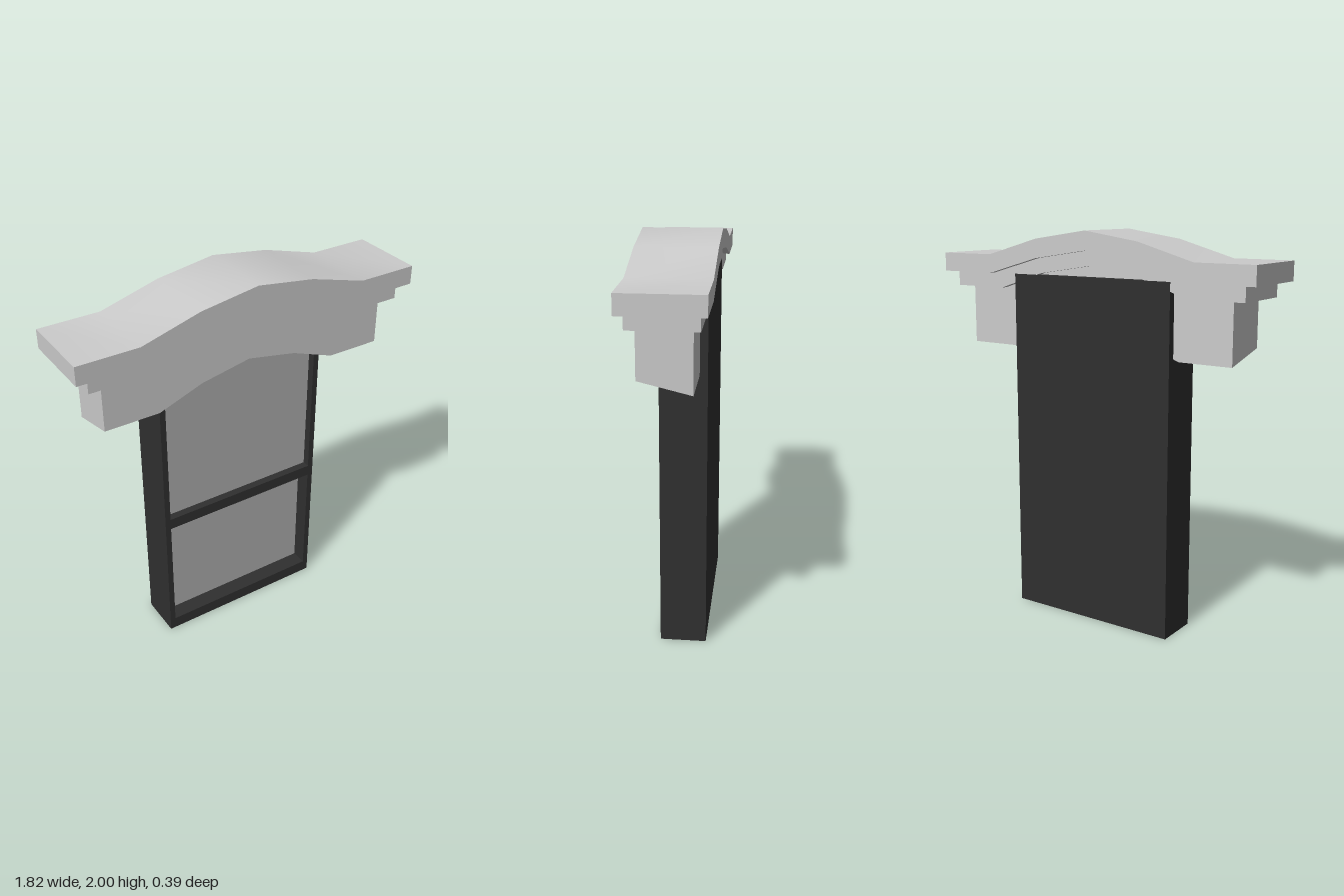
import * as THREE from 'three';
import { toCreasedNormals } from 'three/addons/utils/BufferGeometryUtils.js';

const stone = new THREE.MeshStandardMaterial({ color: 0xcccccc });
const dark = new THREE.MeshStandardMaterial({ color: 0x303030 });
const glass = new THREE.MeshStandardMaterial({ color: 0xaeaeae });

// Mirrors a half arch line (outer end to crown) into a full line, left to right
function fullLine(half) {
  const right = half.map(([x, y]) => new THREE.Vector2(x, y));
  const left = half.slice(0, -1).map(([x, y]) => new THREE.Vector2(-x, y));
  return [...left, ...right.reverse()];
}

// Solid between two arch lines; the underside drops by backDrop towards the back
function archedBand(name, top, bottom, depth, backDrop = 0) {
  const lower = fullLine(bottom);
  const shape = new THREE.Shape([...lower, ...fullLine(top).reverse()]);
  const geo = new THREE.ExtrudeGeometry(shape, { depth, bevelEnabled: false });
  geo.translate(0, 0, -depth / 2);
  const p = geo.attributes.position;
  for (let i = 0; i < p.count; i++) {
    const x = p.getX(i), y = p.getY(i);
    const onUnderside = lower.some(v => Math.hypot(v.x - x, v.y - y) < 1e-4);
    if (onUnderside && p.getZ(i) < 0) p.setY(i, y - backDrop);
  }
  const mesh = new THREE.Mesh(toCreasedNormals(geo, 0.5), stone);
  mesh.name = name;
  return mesh;
}

function box(name, x0, x1, y0, y1, z0, z1, material) {
  const mesh = new THREE.Mesh(new THREE.BoxGeometry(x1 - x0, y1 - y0, z1 - z0), material);
  mesh.position.set((x0 + x1) / 2, (y0 + y1) / 2, (z0 + z1) / 2);
  mesh.name = name;
  return mesh;
}

function rectangle(type, x, y0, y1) {
  return new type([[-x, y0], [x, y0], [x, y1], [-x, y1]].map(([a, b]) => new THREE.Vector2(a, b)));
}

export function createModel() {
  const model = new THREE.Group();
  model.name = 'archedWindow';

  // Window frame with an upper and a lower opening
  const backZ = -0.163, panelZ = -0.1, frontZ = 0.065;
  const shape = rectangle(THREE.Shape, 0.46, 0, 1.775);
  shape.holes.push(rectangle(THREE.Path, 0.43, 0.065, 0.7), rectangle(THREE.Path, 0.43, 0.76, 1.74));
  const frameGeo = new THREE.ExtrudeGeometry(shape, { depth: frontZ - panelZ, bevelEnabled: false });
  const frame = new THREE.Mesh(frameGeo, dark);
  frame.position.z = panelZ;
  frame.name = 'windowFrame';
  model.add(frame, box('backPanel', -0.46, 0.46, 0, 1.775, backZ, panelZ, dark));

  // Panes: the lower one sits deeper than the upper one
  model.add(
    box('lowerPane', -0.43, 0.43, 0.065, 0.7, -0.05, -0.02, glass),
    box('upperPane', -0.43, 0.43, 0.76, 1.74, -0.005, 0.025, glass),
  );

  // Arched hood: lintel with sloping underside, moulding and cap
  const lintelTop = [[0.77, 1.7], [0.55, 1.7], [0.29, 1.785], [0, 1.83]];
  const lintelBottom = [[0.77, 1.46], [0.49, 1.46], [0.26, 1.545], [0, 1.595]];
  const mouldBottom = [[0.845, 1.7], ...lintelTop.slice(1)];
  const mouldTop = [[0.845, 1.775], [0.6, 1.775], [0.3, 1.86], [0, 1.905]];
  const capBottom = [[0.91, 1.775], ...mouldTop.slice(1)];
  const capTop = [[0.91, 1.87], [0.6, 1.87], [0.3, 1.955], [0, 2]];
  model.add(
    archedBand('lintel', lintelTop, lintelBottom, 0.25, 0.06),
    archedBand('moulding', mouldTop, mouldBottom, 0.324),
    archedBand('cap', capTop, capBottom, 0.39),
  );
  return model;
}
